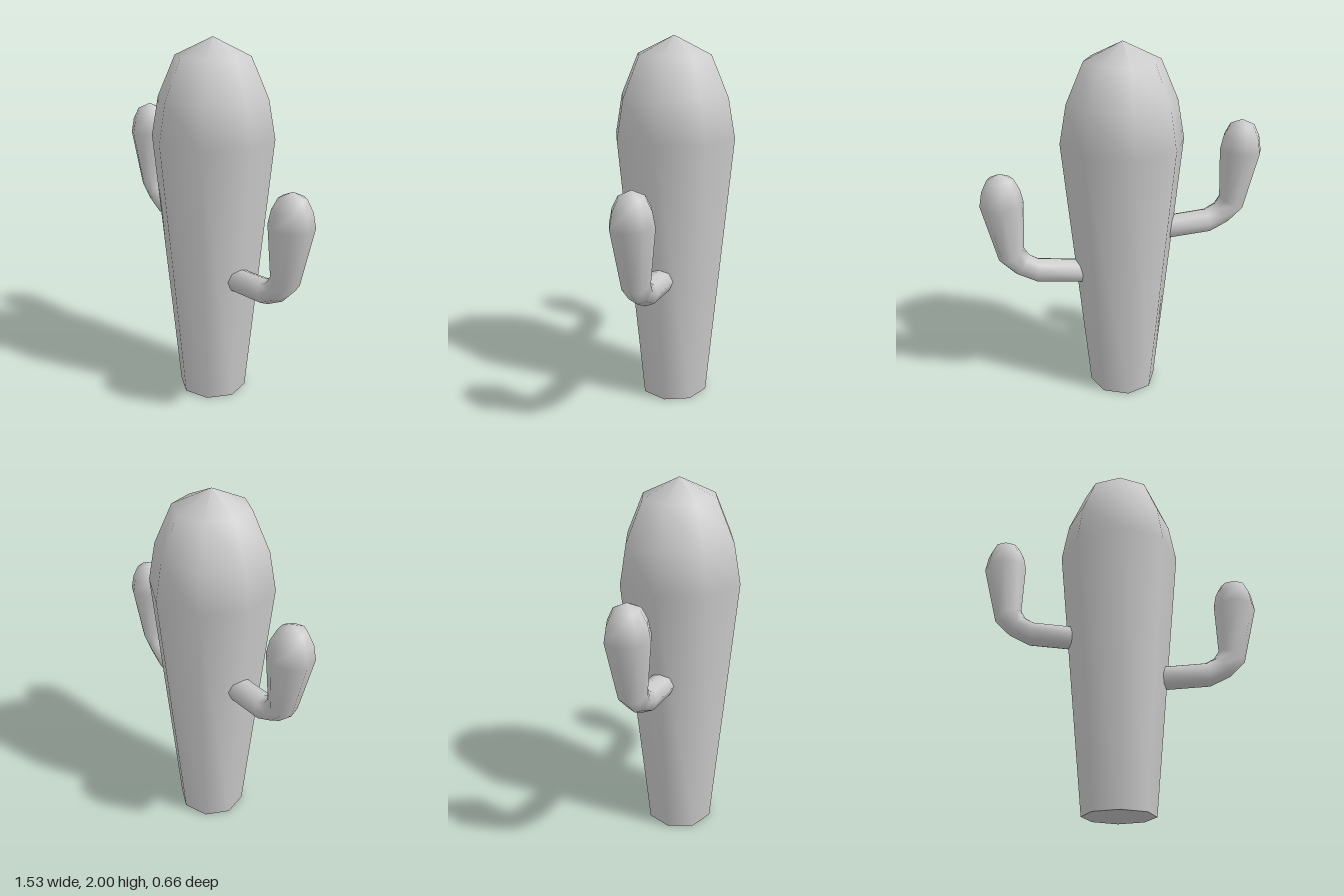
import * as THREE from 'three';

const SIDES = 8;
const material = new THREE.MeshStandardMaterial({ color: 0xcccccc });

// Cross-sections of an arm growing toward +x: centre x, centre y, radius, heading in degrees
const ARM_RINGS = [
  [0.20, 0.735, 0.067, 5],
  [0.48, 0.762, 0.068, 8],
  [0.56, 0.805, 0.067, 37],
  [0.615, 0.868, 0.077, 65],
  [0.65, 1.167, 0.116, 86],
  [0.65, 1.243, 0.101, 89],
  [0.65, 1.306, 0.069, 90],
];
const ARM_TIP = [0.65, 1.338, 0];

// Smooth octagonal tube through the rings, closed by a pointed tip
function armGeometry() {
  const positions = [];
  const indices = [];
  for (const [x, y, r, degrees] of ARM_RINGS) {
    const heading = THREE.MathUtils.degToRad(degrees);
    for (let k = 0; k < SIDES; k++) {
      const t = (k / SIDES) * Math.PI * 2;
      const across = r * Math.cos(t);
      positions.push(x + across * Math.sin(heading), y - across * Math.cos(heading), r * Math.sin(t));
    }
  }
  positions.push(...ARM_TIP);
  const last = ARM_RINGS.length - 1;
  const tip = ARM_RINGS.length * SIDES;
  for (let i = 0; i <= last; i++) {
    for (let k = 0; k < SIDES; k++) {
      const a = i * SIDES + k;
      const b = i * SIDES + (k + 1) % SIDES;
      if (i === last) indices.push(a, tip, b);
      else indices.push(a, a + SIDES, b, b, a + SIDES, b + SIDES);
    }
  }
  const geometry = new THREE.BufferGeometry();
  geometry.setAttribute('position', new THREE.Float32BufferAttribute(positions, 3));
  geometry.setIndex(indices);
  geometry.computeVertexNormals();
  return geometry;
}

export function createModel() {
  const model = new THREE.Group();
  model.name = 'cactus';

  const add = (name, geometry) => {
    const mesh = new THREE.Mesh(geometry, material);
    mesh.name = name;
    model.add(mesh);
    return mesh;
  };

  // Trunk widening upward to a domed top
  const profile = [[0.19, 0], [0.332, 1.48], [0.294, 1.69], [0.2, 1.905], [0, 2]]
    .map(([r, y]) => new THREE.Vector2(r, y));
  add('trunk', new THREE.LatheGeometry(profile, SIDES));

  // Flat underside of the trunk
  add('trunkBase', new THREE.CircleGeometry(0.19, SIDES)).rotation.x = Math.PI / 2;

  // The same arm on both sides, the right one higher
  const arm = armGeometry();
  add('leftArm', arm);
  const rightArm = add('rightArm', arm);
  rightArm.rotation.y = Math.PI;
  rightArm.position.y = 0.229;

  return model;
}
